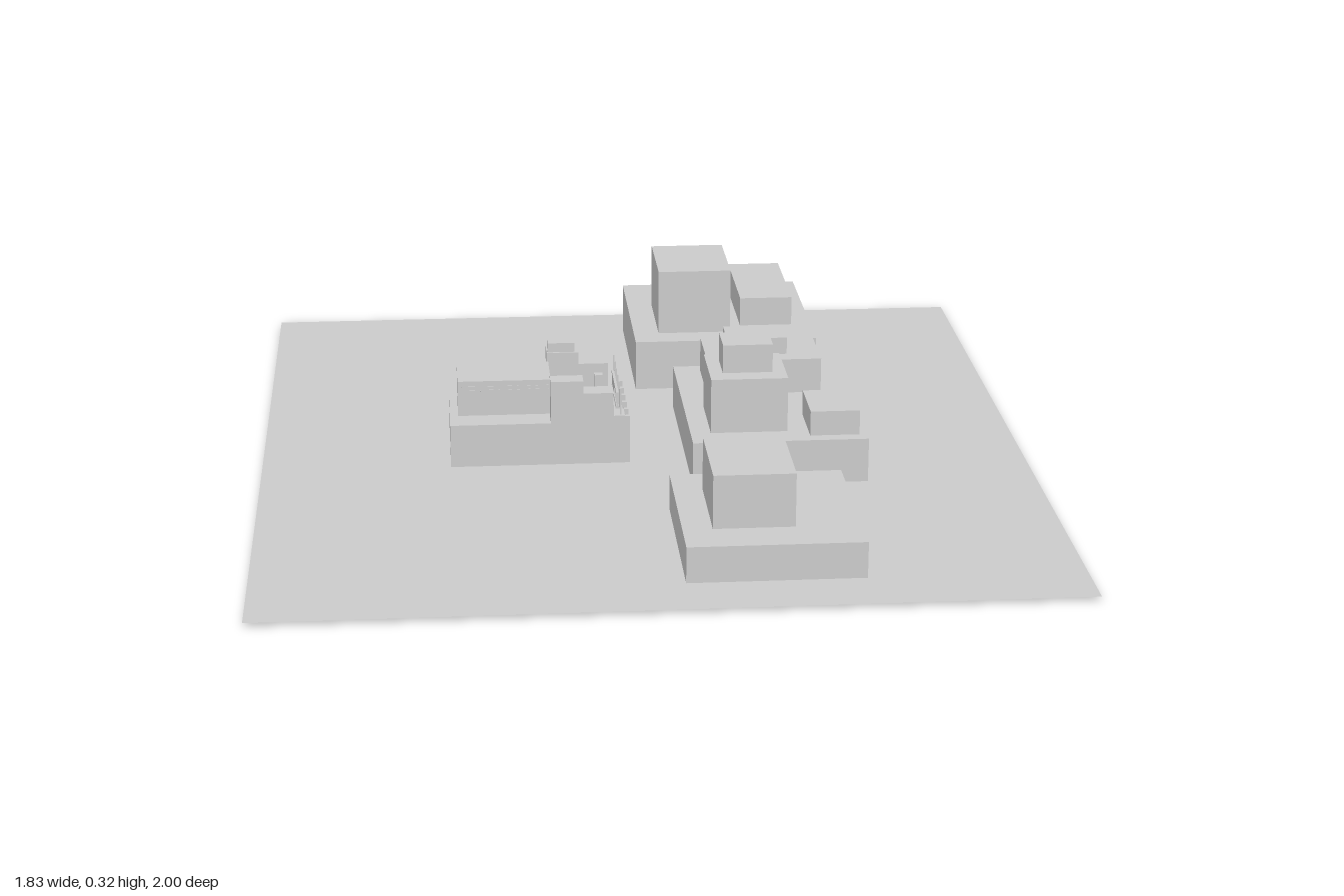
import * as THREE from 'three';

export function createModel() {
  const model = new THREE.Group();
  model.name = 'cityBlockMassing';
  const grey = new THREE.MeshStandardMaterial({ color: 0xcccccc });
  grey.name = 'model grey';
  const groundGrey = grey.clone();
  groundGrey.name = 'ground grey';
  groundGrey.side = THREE.DoubleSide;

  // Box given by its extents along each axis
  function block(parent, name, x0, x1, y0, y1, z0, z1) {
    const mesh = new THREE.Mesh(new THREE.BoxGeometry(x1 - x0, y1 - y0, z1 - z0), grey);
    mesh.position.set((x0 + x1) / 2, (y0 + y1) / 2, (z0 + z1) / 2);
    mesh.name = name;
    parent.add(mesh);
    return mesh;
  }
  function group(name) {
    const g = new THREE.Group();
    g.name = name;
    model.add(g);
    return g;
  }

  // Ground sheet, just above the feet of the buildings
  const ground = new THREE.Mesh(new THREE.PlaneGeometry(1.83, 2), groundGrey);
  ground.rotation.x = -Math.PI / 2;
  ground.position.y = 0.01;
  ground.name = 'ground';
  model.add(ground);

  // Back building
  const back = group('backBuilding');
  block(back, 'podium', 0.016, 0.48, 0, 0.137, -0.868, -0.388);
  block(back, 'tower', 0.08, 0.265, 0.137, 0.302, -0.684, -0.456);
  block(back, 'lowWing', 0.296, 0.43, 0.137, 0.211, -0.802, -0.503);

  // Middle building
  const middle = group('middleBuilding');
  block(middle, 'podium', 0.1, 0.515, 0, 0.117, -0.25, 0.295);
  block(middle, 'rearHall', 0.165, 0.445, 0.117, 0.203, -0.217, -0.038);
  block(middle, 'rearHallTop', 0.217, 0.365, 0.203, 0.245, -0.175, -0.08);
  block(middle, 'tower', 0.148, 0.33, 0.117, 0.25, 0.047, 0.23);
  block(middle, 'towerTop', 0.18, 0.298, 0.25, 0.319, 0.09, 0.184);
  block(middle, 'lowWing', 0.38, 0.497, 0.117, 0.177, 0.116, 0.264);

  // Front building
  const front = group('frontBuilding');
  block(front, 'podium', 0.033, 0.43, 0, 0.094, 0.432, 0.862);
  block(front, 'tower', 0.1, 0.283, 0.094, 0.219, 0.527, 0.763);

  // Detailed hall on the model's right
  const hall = group('detailedHall');
  block(hall, 'base', -0.465, -0.048, 0, 0.115, -0.135, 0.13);
  block(hall, 'upperHall', -0.445, -0.222, 0.115, 0.202, -0.07, 0.063);

  // Window ribbons along both long sides of the upper hall
  for (const z of [-0.07, 0.063]) {
    for (let i = 0; i < 5; i++) {
      const x = -0.435 + i * 0.044;
      for (const y of [0.174, 0.183]) block(hall, 'window', x, x + 0.032, y, y + 0.006, z - 0.002, z + 0.002);
    }
  }

  // Stepped wings either side of the court
  block(hall, 'rearWing', -0.225, -0.075, 0.115, 0.19, -0.137, -0.08);
  block(hall, 'rearWingStep', -0.225, -0.147, 0.19, 0.22, -0.137, -0.08);
  block(hall, 'rearTurret', -0.222, -0.157, 0.22, 0.243, -0.135, -0.085);
  block(hall, 'frontWing', -0.225, -0.075, 0.115, 0.188, 0.08, 0.13);
  block(hall, 'frontWingStep', -0.225, -0.147, 0.188, 0.219, 0.085, 0.13);
  for (const z of [-0.13, 0.08]) block(hall, 'wingShoulder', -0.075, -0.048, 0.115, 0.13, z, z + 0.05);

  // Small roof structures in the court
  const court = [
    [-0.175, -0.145, 0.16, -0.065, -0.05],
    [-0.135, -0.075, 0.15, -0.02, -0.008],
    [-0.2, -0.175, 0.165, 0.025, 0.045],
    [-0.165, -0.15, 0.18, 0.005, 0.02],
    [-0.13, -0.08, 0.155, 0.055, 0.075],
    [-0.11, -0.09, 0.17, -0.07, -0.05]
  ];
  for (const [x0, x1, top, z0, z1] of court) block(hall, 'roofStructure', x0, x1, 0.115, top, z0, z1);

  // Open lattice on the court's street edge
  for (const y of [0.13, 0.165]) block(hall, 'latticeRail', -0.066, -0.06, y, y + 0.006, -0.08, 0.08);
  for (let i = 0; i < 9; i++) {
    const z = -0.078 + i * 0.019;
    block(hall, 'latticePost', -0.065, -0.061, 0.115, 0.17, z, z + 0.004);
  }

  // Street facade piers with slim masts
  for (let i = 0; i < 6; i++) {
    const z = -0.128 + i * 0.05;
    block(hall, 'pier', -0.048, -0.036, 0, 0.127, z - 0.005, z + 0.005);
    block(hall, 'mast', -0.06, -0.056, 0.115, 0.195, z - 0.002, z + 0.002);
  }
  return model;
}
